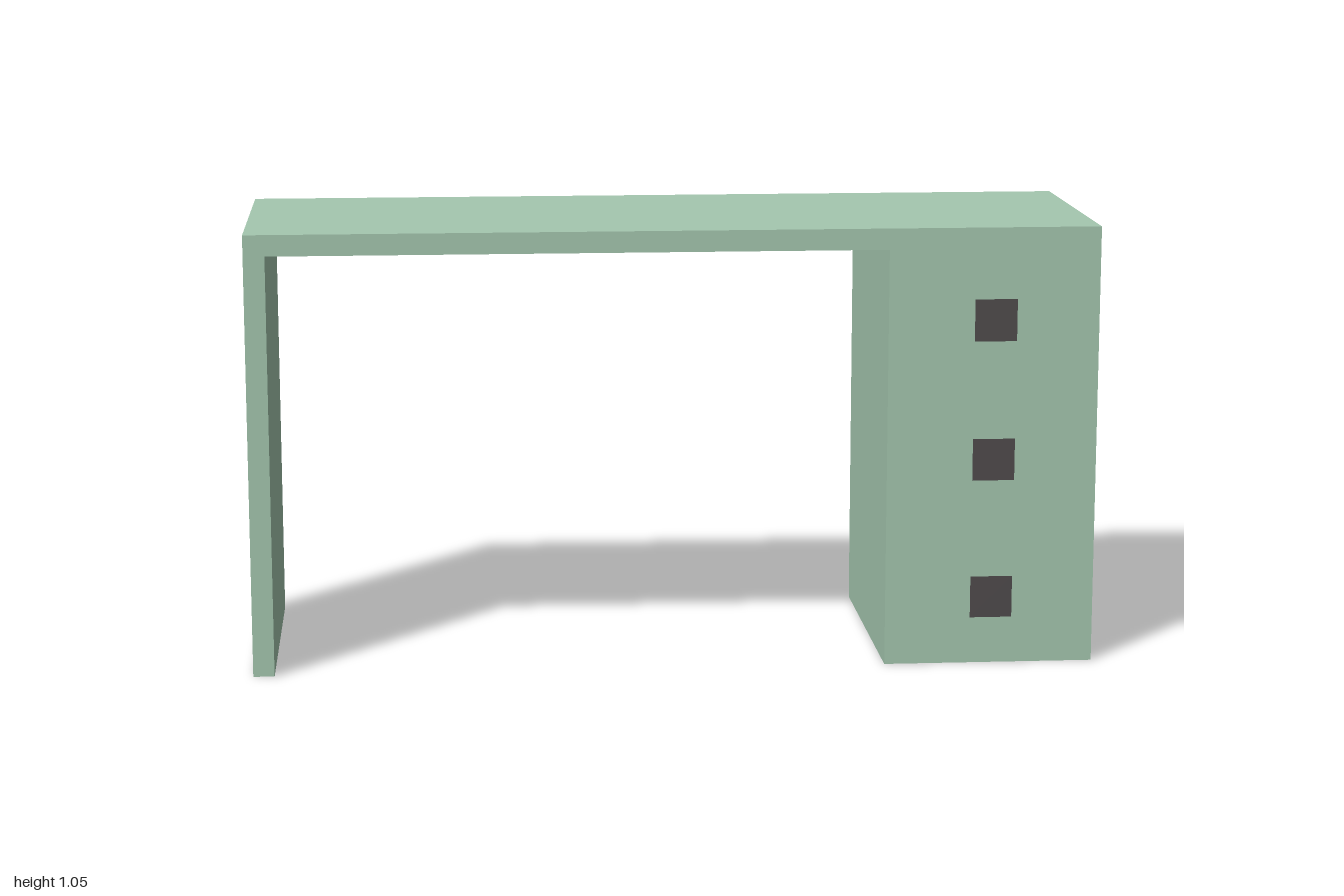
import * as THREE from 'three';

export function createModel() {
  const desk = new THREE.Group();
  desk.name = 'desk';
  const green = new THREE.MeshStandardMaterial({ color: 0xa5c8b0 });
  const dark = new THREE.MeshStandardMaterial({ color: 0x504c4d, flatShading: true });

  const back = -0.338, front = 0.313, panel = 0.05, top = 1.05;
  const under = top - panel;

  // Box given by its limits on each axis
  function box(name, x0, x1, y0, y1, z0, z1, parent = desk) {
    const mesh = new THREE.Mesh(new THREE.BoxGeometry(x1 - x0, y1 - y0, z1 - z0), green);
    mesh.position.set((x0 + x1) / 2, (y0 + y1) / 2, (z0 + z1) / 2);
    mesh.name = name;
    parent.add(mesh);
  }

  // Top, side leg and drawer cabinet
  const frontThickness = 0.02;
  box('desktop', -1, 1, under, top, back, front);
  box('sideLeg', -1, -1 + panel, 0, under, back, front);
  box('drawerCabinet', 0.5, 1, 0, under, back, front - frontThickness);

  // Flared square knob, wider at the outer end
  const knobDepth = 0.025;
  const knobGeometry = new THREE.CylinderGeometry(0.05 * Math.SQRT2, 0.028 * Math.SQRT2, knobDepth, 4);
  knobGeometry.rotateY(Math.PI / 4).rotateX(Math.PI / 2);

  // Three stacked drawers, flush with the desk front
  const drawerHeight = under / 3;
  for (let i = 0; i < 3; i++) {
    const drawer = new THREE.Group();
    drawer.name = `drawer${i + 1}`;
    const y = i * drawerHeight;
    box('drawerFront', 0.5, 1, y, y + drawerHeight, front - frontThickness, front, drawer);
    const knob = new THREE.Mesh(knobGeometry, dark);
    knob.name = 'drawerKnob';
    knob.position.set(0.75, y + drawerHeight / 2 + 0.001, front + knobDepth / 2);
    drawer.add(knob);
    desk.add(drawer);
  }
  return desk;
}
